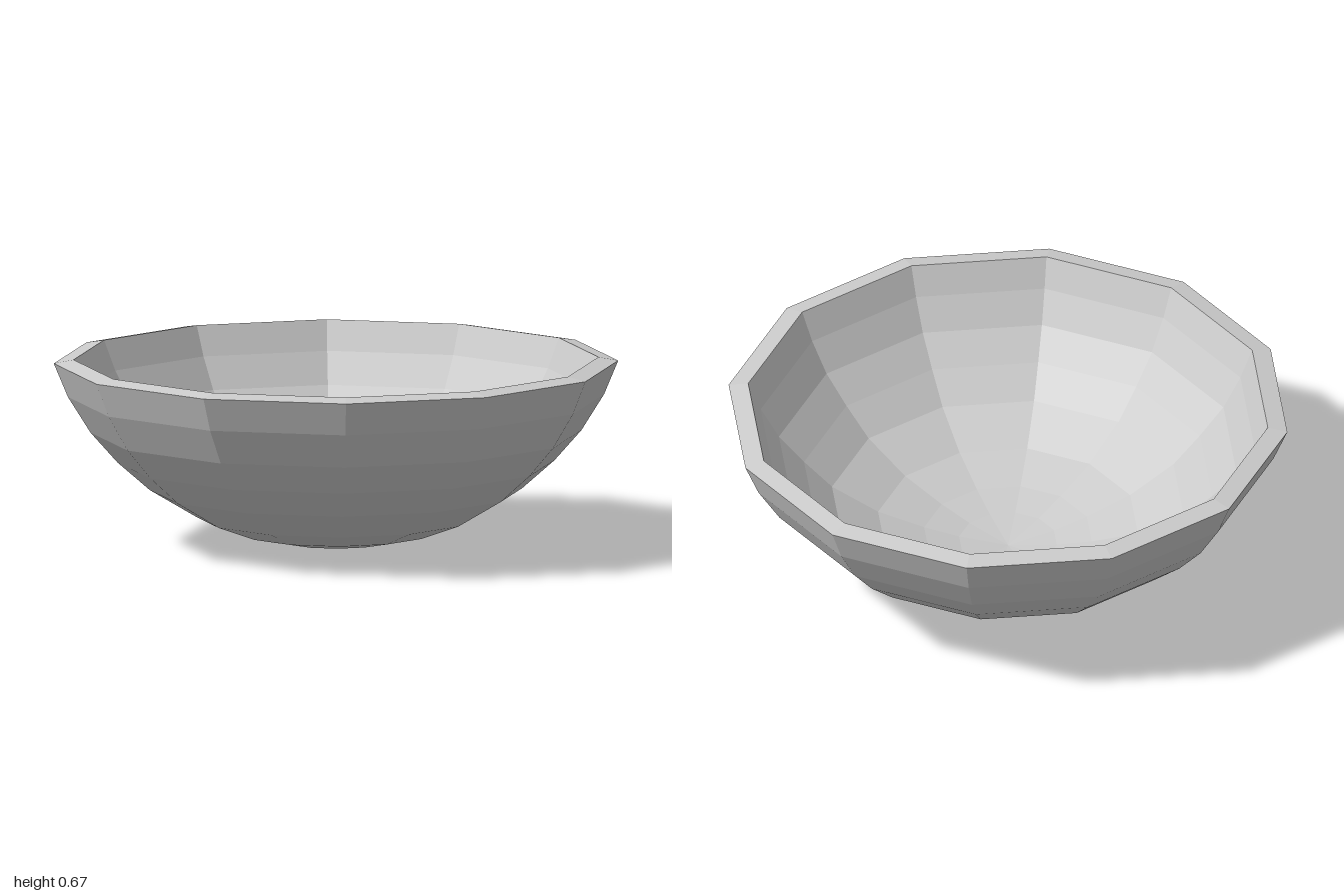
import * as THREE from 'three';

const SIDES = 12;

export function createModel() {
  const group = new THREE.Group();
  group.name = 'bowl';
  const material = new THREE.MeshStandardMaterial({ color: 0xcccccc, flatShading: true });

  // Wall profiles as [radius, height], from the bottom centre up to the rim
  const outer = [[0, 0], [0.19, 0.02], [0.34, 0.05], [0.49, 0.105], [0.66, 0.205],
    [0.775, 0.305], [0.87, 0.412], [0.95, 0.54], [1, 0.66]];
  const inner = [[0, 0.07], [0.175, 0.09], [0.3, 0.117], [0.465, 0.167], [0.63, 0.258],
    [0.73, 0.355], [0.82, 0.455], [0.885, 0.567], [0.93, 0.673]];

  const addRing = (name, profile) => {
    const points = profile.map(([r, y]) => new THREE.Vector2(r, y));
    const mesh = new THREE.Mesh(new THREE.LatheGeometry(points, SIDES), material);
    mesh.name = name;
    group.add(mesh);
  };

  addRing('outerWall', outer);
  // The rim rises slightly towards the inside
  addRing('rim', [outer[outer.length - 1], inner[inner.length - 1]]);
  // Reversed so the faces look into the bowl
  addRing('innerWall', [...inner].reverse());

  group.rotation.y = 0.01;
  return group;
}
